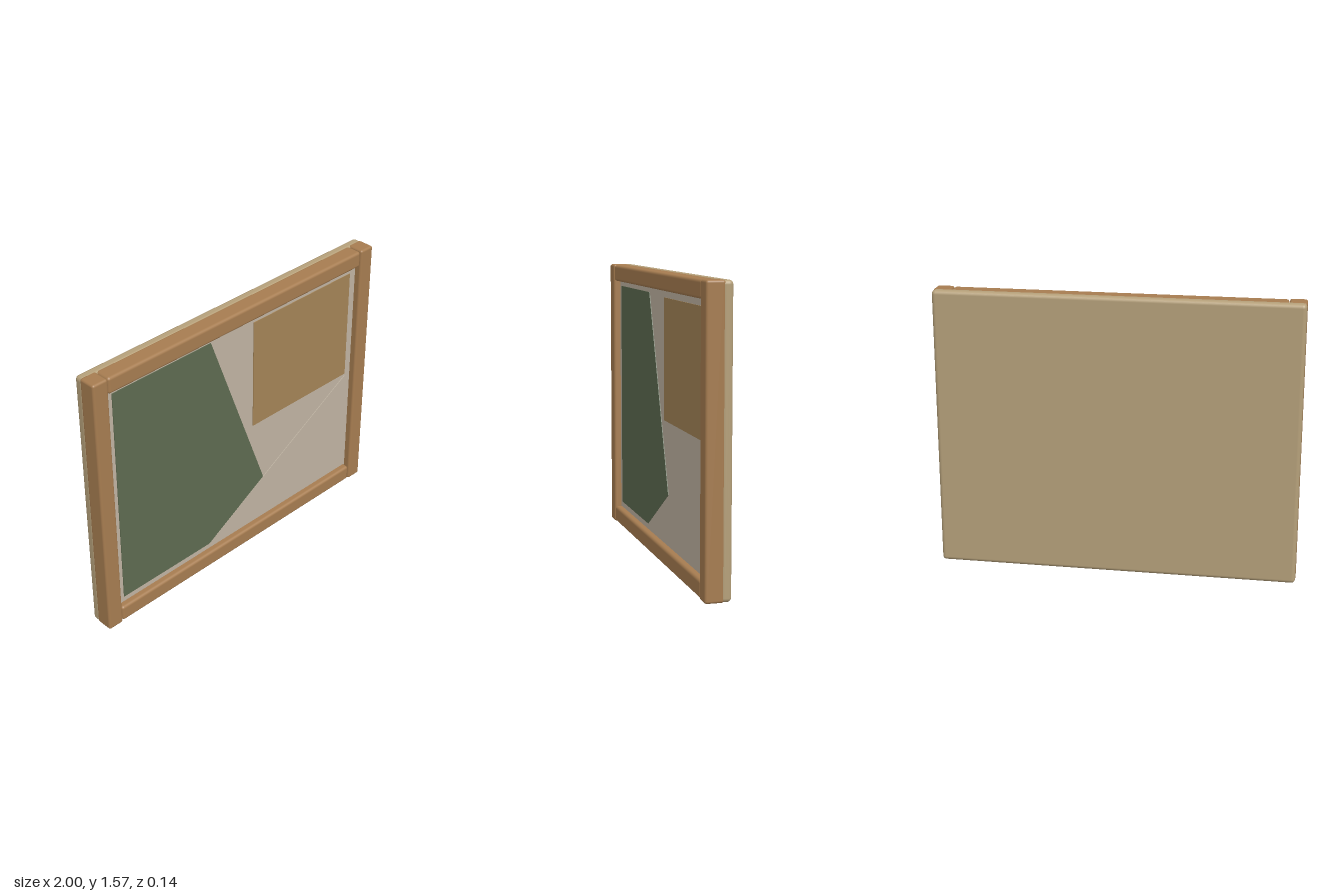
import * as THREE from 'three';
import { RoundedBoxGeometry } from 'three/addons/geometries/RoundedBoxGeometry.js';

const WIDTH = 2, HEIGHT = 1.57, MID = HEIGHT / 2;

function material(name, color) {
  const m = new THREE.MeshStandardMaterial({ color });
  m.name = name;
  return m;
}

export function createModel() {
  const group = new THREE.Group();
  group.name = 'framedPanel';
  const wood = material('frame wood', 0xa67c50);
  const backing = material('backing tan', 0xb5a07a);
  const cream = material('panel cream', 0xbfb3a2);
  const green = material('painted green', 0x5d6a50);
  const brown = material('painted brown', 0xa38356);

  function add(name, geometry, mat, x, y, z) {
    const mesh = new THREE.Mesh(geometry, mat);
    mesh.name = name;
    mesh.position.set(x, y, z);
    group.add(mesh);
  }

  // Softly rounded backing board
  add('backBoard', new RoundedBoxGeometry(WIDTH, HEIGHT, 0.06, 3, 0.022), backing, 0, MID, -0.04);

  // Upright posts and the rails between them
  for (const side of [-1, 1]) {
    const end = side < 0 ? 'right' : 'left';
    add(end + 'Post', new RoundedBoxGeometry(0.094, HEIGHT, 0.1, 3, 0.013), wood, side * 0.953, MID, 0.02);
    add(side < 0 ? 'bottomRail' : 'topRail',
      new RoundedBoxGeometry(1.808, 0.094, 0.098, 3, 0.016), wood, 0, MID + side * (MID - 0.049), 0.018);
  }

  // Recessed panel inside the frame
  add('panel', new THREE.BoxGeometry(1.82, 1.39, 0.06), cream, 0, MID, 0);

  // Thin flat shapes laid on the panel
  function plate(name, points, mat) {
    const shape = new THREE.Shape(points.map(([x, y]) => new THREE.Vector2(x, y)));
    add(name, new THREE.ExtrudeGeometry(shape, { depth: 0.004, bevelEnabled: false }), mat, 0, 0, 0.03);
  }
  plate('greenField', [[-0.86, 0.13], [-0.23, 0.13], [0.195, 0.38], [-0.2, 1.445], [-0.86, 1.445]], green);
  plate('brownBlock', [[0.11, 0.775], [0.86, 0.775], [0.86, 1.435], [0.11, 1.435]], brown);
  plate('creamWedge', [[-0.23, 0.13], [0.86, 0.13], [0.86, 0.76]], cream);

  return group;
}
